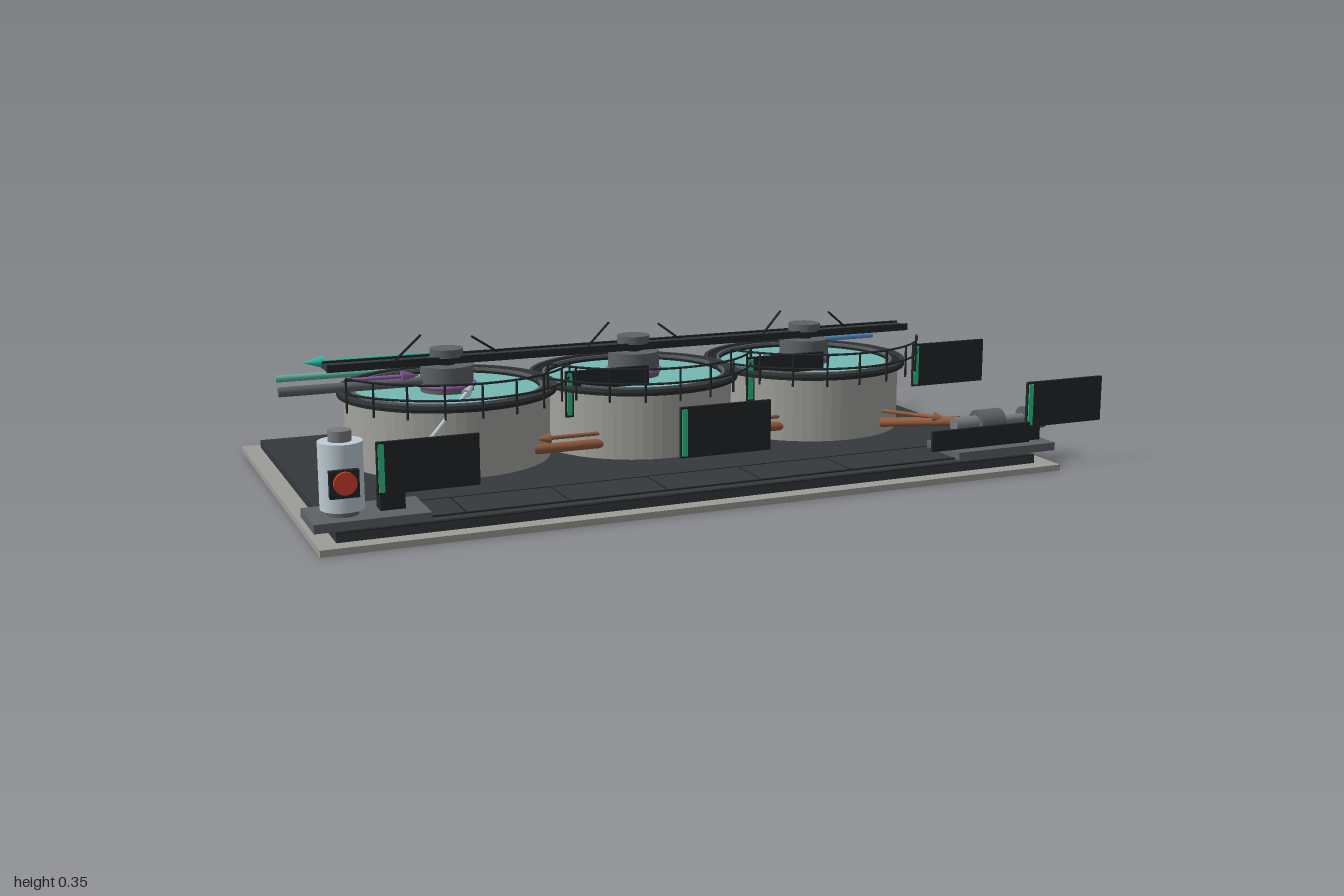
import * as THREE from 'three';

const mat = (color) => new THREE.MeshStandardMaterial({ color, side: THREE.DoubleSide });
const M = {
  concrete: mat(0x9c9c98), dark: mat(0x35393b), darker: mat(0x222628), steel: mat(0x5c6265),
  tank: mat(0xa3a39f), water: mat(0x74b8b3), silver: mat(0xbfccd4), brown: mat(0x8f5a3c),
  cone: mat(0x4a3a30), blue: mat(0x5b97d6), teal: mat(0x2fb8a0), paleTeal: mat(0x5fb5a5),
  green: mat(0x2fc48a), purple: mat(0x8a5f9c), red: mat(0xd8402c), grey: mat(0x777b7d),
};
const V = (x, y, z) => new THREE.Vector3(x, y, z);

function add(parent, name, geometry, material, x = 0, y = 0, z = 0) {
  const mesh = new THREE.Mesh(geometry, material);
  mesh.name = name;
  mesh.position.set(x, y, z);
  parent.add(mesh);
  return mesh;
}

// Box given by its limits on each axis
function box(parent, name, material, x0, x1, y0, y1, z0, z1) {
  return add(parent, name, new THREE.BoxGeometry(x1 - x0, y1 - y0, z1 - z0), material,
    (x0 + x1) / 2, (y0 + y1) / 2, (z0 + z1) / 2);
}

// Upright cylinder or cone between two heights
function drum(parent, name, material, x, z, y0, y1, rTop, rBottom = rTop, sides = 32) {
  return add(parent, name, new THREE.CylinderGeometry(rTop, rBottom, y1 - y0, sides), material, x, (y0 + y1) / 2, z);
}

// Straight round bar between two points
function rod(parent, name, material, a, b, r, rEnd = r, sides = 16) {
  const d = b.clone().sub(a);
  const mesh = add(parent, name, new THREE.CylinderGeometry(rEnd, r, d.length(), sides), material);
  mesh.position.copy(a).add(b).multiplyScalar(0.5);
  mesh.quaternion.setFromUnitVectors(V(0, 1, 0), d.normalize());
  return mesh;
}

function arrow(parent, name, material, a, b, r, headR, headLength) {
  const g = new THREE.Group();
  g.name = name;
  const neck = b.clone().sub(a).setLength(headLength).negate().add(b);
  rod(g, 'shaft', material, a, neck, r);
  rod(g, 'head', material, neck, b, headR, 0);
  parent.add(g);
}

// Ring with a rectangular section
function ring(parent, name, material, rIn, rOut, y0, y1) {
  const pts = [[rIn, y0], [rOut, y0], [rOut, y1], [rIn, y1], [rIn, y0]].map(([r, y]) => new THREE.Vector2(r, y));
  const geometry = new THREE.LatheGeometry(pts, 64).toNonIndexed();
  geometry.computeVertexNormals();
  return add(parent, name, geometry, material);
}

// Curved guard rail on the front of a tank
function guardRail(parent) {
  const g = new THREE.Group();
  g.name = 'guardRail';
  const R = 0.3, start = 0.42, end = Math.PI - 0.42;
  const at = (a, y) => V(Math.cos(a) * R, y, Math.sin(a) * R);
  for (const y of [0.25, 0.286]) {
    const pts = [];
    for (let i = 0; i <= 16; i++) pts.push(at(start + (end - start) * i / 16, y));
    add(g, 'rail', new THREE.TubeGeometry(new THREE.CatmullRomCurve3(pts), 40, 0.0028, 6), M.darker);
  }
  for (let i = 0; i <= 8; i++) {
    const a = start + (end - start) * i / 8;
    rod(g, 'railPost', M.darker, at(a, 0.205), at(a, 0.286), 0.0028, 0.0028, 6);
  }
  parent.add(g);
}

function thickener(x) {
  const t = new THREE.Group();
  t.name = 'thickenerTank';
  t.position.set(x, 0, -0.057);
  drum(t, 'underflowCone', M.cone, 0, 0, 0.035, 0.056, 0.11, 0.142);
  drum(t, 'tankFloor', M.tank, 0, 0, 0.053, 0.058, 0.249, 0.249, 64);
  ring(t, 'tankWall', M.tank, 0.237, 0.25, 0.053, 0.217);
  ring(t, 'launder', M.darker, 0.225, 0.267, 0.214, 0.222);
  ring(t, 'launderLip', M.dark, 0.257, 0.267, 0.222, 0.23);
  ring(t, 'weir', M.steel, 0.228, 0.234, 0.21, 0.229);
  drum(t, 'water', M.water, 0, 0, 0.2, 0.216, 0.23, 0.23, 64);
  // Feed well and rake drive
  drum(t, 'feedWell', M.steel, 0, 0, 0.21, 0.28, 0.065);
  const collar = add(t, 'feedWellCollar', new THREE.TorusGeometry(0.066, 0.006, 10, 40), M.purple, 0, 0.232, 0);
  collar.rotation.x = Math.PI / 2;
  drum(t, 'driveShaft', M.darker, 0, 0, 0.278, 0.292, 0.02);
  drum(t, 'driveHead', M.steel, 0, 0, 0.3, 0.32, 0.042, 0.042, 12);
  // Slanted bracing rods on both sides of the drive
  for (const s of [-1, 1]) {
    rod(t, 'braceRod', M.darker, V(s * 0.055, 0.35, s * 0.033), V(s * 0.155, 0.286, -s * 0.033), 0.003, 0.003, 6);
  }
  guardRail(t);
  return t;
}

// Dark upright panel with an optional coloured edge strip
function panel(parent, x0, x1, y0, y1, z, strip = true) {
  const g = new THREE.Group();
  g.name = 'infoPanel';
  box(g, 'panelBoard', M.darker, x0, x1, y0, y1, z - 0.004, z + 0.004);
  if (strip) box(g, 'panelStrip', M.green, x0 + 0.003, x0 + 0.016, y0 + 0.005, y1 - 0.005, z - 0.002, z + 0.007);
  parent.add(g);
}

export function createModel() {
  const root = new THREE.Group();
  root.name = 'thickenerPlant';

  // Ground, pad and front walkway
  box(root, 'groundSlab', M.concrete, -1, 0.85, 0, 0.015, -0.51, 0.5);
  box(root, 'pad', M.dark, -0.957, 0.8, 0.012, 0.035, -0.475, 0.46);
  box(root, 'walkway', M.dark, -0.955, 0.6, 0.034, 0.037, 0.28, 0.41);
  box(root, 'walkwayEdge', M.darker, -0.955, 0.6, 0.034, 0.038, 0.277, 0.281);
  box(root, 'frontCurb', M.darker, -0.745, 0.6, 0.034, 0.038, 0.41, 0.416);
  box(root, 'padEdge', M.darker, -0.957, 0.8, 0.034, 0.037, 0.448, 0.46);
  for (let i = 0; i < 5; i++) {
    const x = -0.66 + i * 0.24;
    box(root, 'walkwayJoint', M.darker, x - 0.002, x + 0.002, 0.034, 0.038, 0.28, 0.41);
  }

  // Three tanks in a row and the bridge above them
  const centres = [-0.567, -0.075, 0.417];
  centres.forEach((x) => root.add(thickener(x)));
  box(root, 'bridgeDeck', M.dark, -0.865, 0.72, 0.287, 0.298, -0.083, -0.031);
  for (const z of [-0.085, -0.029]) box(root, 'bridgeBeam', M.darker, -0.865, 0.72, 0.285, 0.303, z - 0.003, z + 0.003);
  rod(root, 'feedPipe', M.steel, V(-0.975, 0.242, -0.057), V(-0.62, 0.242, -0.057), 0.012);
  arrow(root, 'feedArrow', M.purple, V(-0.8, 0.258, -0.057), V(-0.635, 0.258, -0.057), 0.005, 0.014, 0.045);

  // Underflow pipes between tanks, and to the pump
  for (const x of [-0.321, 0.171]) {
    rod(root, 'underflowPipe', M.brown, V(x - 0.088, 0.09, 0.125), V(x + 0.088, 0.09, 0.125), 0.012);
    arrow(root, 'underflowArrow', M.brown, V(x + 0.08, 0.115, 0.125), V(x - 0.08, 0.115, 0.125), 0.005, 0.013, 0.035);
  }
  rod(root, 'dischargePipe', M.brown, V(0.53, 0.083, 0.165), V(0.65, 0.113, 0.345), 0.012);
  arrow(root, 'dischargeArrow', M.brown, V(0.53, 0.115, 0.17), V(0.63, 0.115, 0.32), 0.005, 0.013, 0.035);

  // Water pipes and flow arrows along the back
  rod(root, 'washWaterPipe', M.blue, V(0.785, 0.222, -0.327), V(0.42, 0.222, -0.327), 0.009);
  rod(root, 'overflowPipe', M.paleTeal, V(-0.57, 0.222, -0.327), V(-0.935, 0.222, -0.327), 0.009);
  for (const x of [0.385, -0.105]) {
    arrow(root, 'washWaterArrow', M.blue, V(x, 0.246, -0.313), V(x - 0.35, 0.246, -0.313), 0.005, 0.016, 0.05);
  }
  arrow(root, 'overflowArrow', M.teal, V(-0.515, 0.254, -0.35), V(-0.86, 0.254, -0.35), 0.005, 0.017, 0.05);

  // Dosing skid with vessel, small pump and dosing line
  box(root, 'dosingSkid', M.steel, -1, -0.745, 0.035, 0.055, 0.3, 0.445);
  drum(root, 'vesselFoot', M.steel, -0.925, 0.38, 0.055, 0.07, 0.035);
  drum(root, 'dosingVessel', M.silver, -0.925, 0.38, 0.068, 0.216, 0.048);
  drum(root, 'vesselCap', M.grey, -0.925, 0.38, 0.216, 0.24, 0.025);
  box(root, 'dosingPump', M.darker, -0.845, -0.79, 0.055, 0.095, 0.353, 0.392);
  arrow(root, 'dosingLine', M.silver, V(-0.82, 0.09, 0.37), V(-0.535, 0.256, 0.075), 0.005, 0.012, 0.05);
  // Emergency stop box
  box(root, 'stopBox', M.darker, -0.968, -0.905, 0.112, 0.172, 0.456, 0.47);
  rod(root, 'stopButton', M.red, V(-0.936, 0.145, 0.469), V(-0.936, 0.145, 0.478), 0.025);

  // Pump skid: casing, flange discs and motor
  box(root, 'pumpSkid', M.steel, 0.595, 0.88, 0.035, 0.055, 0.285, 0.435);
  for (const x of [0.66, 0.84]) box(root, 'pumpFoot', M.darker, x - 0.025, x + 0.025, 0.055, 0.095, 0.345, 0.39);
  const pumpParts = [
    ['pumpInlet', 0.62, 0.69, 0.018, M.grey], ['pumpCasing', 0.685, 0.755, 0.032, M.steel],
    ['pumpShaft', 0.75, 0.83, 0.012, M.grey], ['pumpMotor', 0.825, 0.885, 0.03, M.steel],
    ['motorCover', 0.88, 0.905, 0.025, M.darker],
  ];
  for (const [name, x0, x1, r, m] of pumpParts) rod(root, name, m, V(x0, 0.11, 0.367), V(x1, 0.11, 0.367), r, r, 24);

  // Information panels in front of the plant and beside the tanks
  panel(root, -0.865, -0.64, 0.108, 0.222, 0.452);
  panel(root, -0.185, 0.04, 0.13, 0.247, 0.492);
  panel(root, 0.775, 1, 0.108, 0.222, 0.452);
  panel(root, 0.48, 0.76, 0.08, 0.13, 0.487, false);
  for (const x of centres) panel(root, x + 0.26, x + 0.48, 0.15, 0.264, 0.072);
  return root;
}
